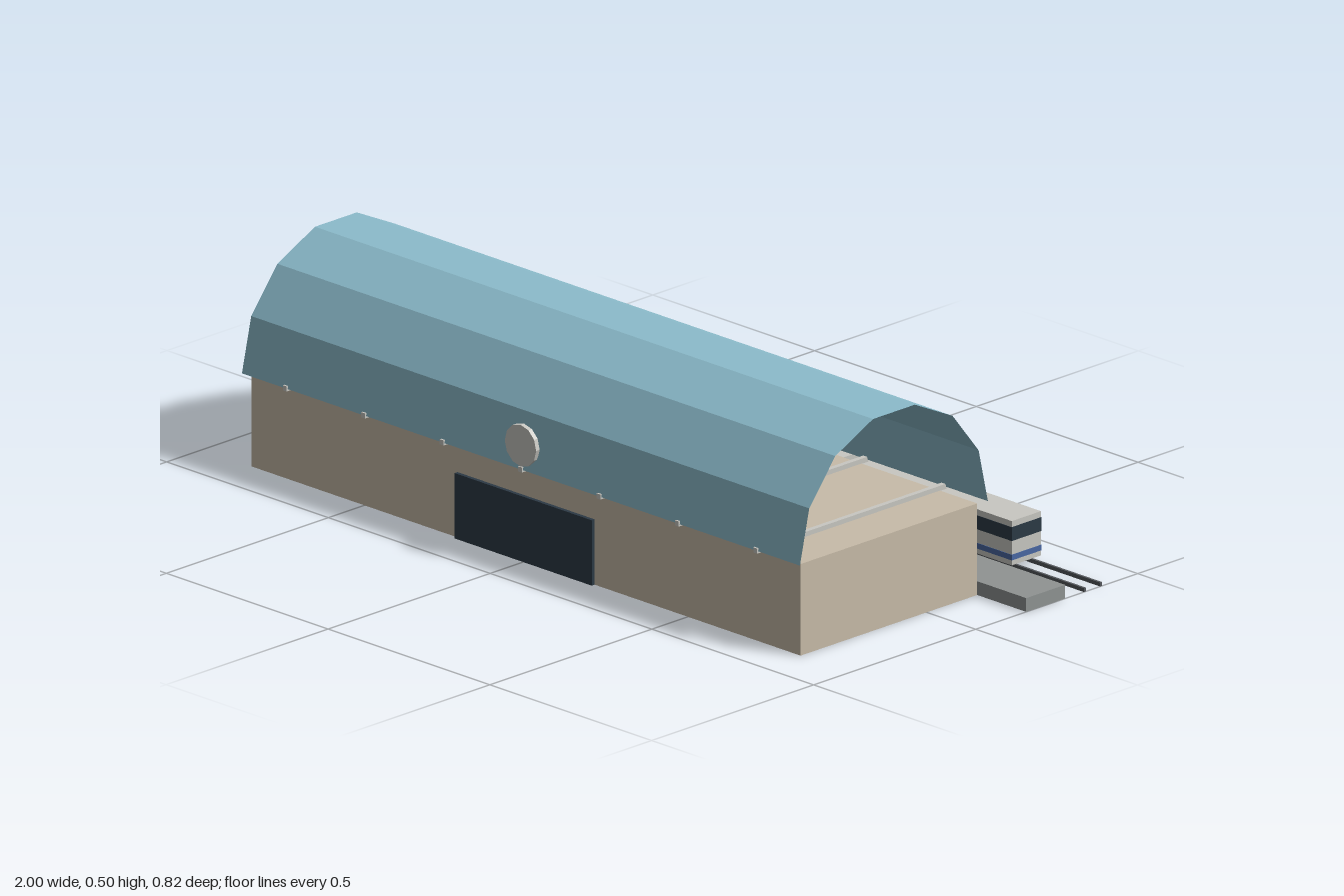
import * as THREE from 'three';

const mat = (name, color, extra = {}) => {
  const m = new THREE.MeshStandardMaterial({ color, ...extra });
  m.name = name;
  return m;
};

export function createModel() {
  const station = new THREE.Group();
  station.name = 'trainStation';

  const stone = mat('beige stone', 0xc8bca9);
  const glass = mat('pale blue roof', 0x8cbccc, { flatShading: true, side: THREE.DoubleSide });
  const dark = mat('dark glass', 0x2c3a46);
  const pale = mat('pale grey', 0xc9c8c2, { flatShading: true });
  const concrete = mat('platform grey', 0x909493);
  const blue = mat('stripe blue', 0x4a69a4);
  const steel = mat('rail steel', 0x55585c);

  const add = (parent, name, geometry, material, x, y, z) => {
    const mesh = new THREE.Mesh(geometry, material);
    mesh.name = name;
    mesh.position.set(x, y, z);
    parent.add(mesh);
    return mesh;
  };
  // Box given by its x centre and width, and its y and z ranges
  const box = (parent, name, material, x, w, y0, y1, z0, z1) =>
    add(parent, name, new THREE.BoxGeometry(w, y1 - y0, z1 - z0), material, x, (y0 + y1) / 2, (z0 + z1) / 2);

  // Hall with its wide entrance
  box(station, 'hall', stone, 0, 1.697, 0, 0.213, -0.156, 0.389);
  box(station, 'entrance', dark, 0, 0.424, 0, 0.152, 0.38, 0.398);

  // Open barrel roof of seven flat panels
  const vault = new THREE.CylinderGeometry(0.29, 0.29, 1.725, 7, 1, true, 0, Math.PI);
  vault.rotateZ(Math.PI / 2);
  add(station, 'barrelRoof', vault, glass, 0, 0.217, 0.115);

  // Cross beams at the foot of the roof
  for (let i = -3; i <= 3; i++) {
    box(station, 'roofBeam', pale, i * 0.2424, 0.012, 0.212, 0.224, -0.177, 0.408);
  }

  // Round clock above the entrance
  const clock = new THREE.CylinderGeometry(0.0485, 0.0485, 0.011, 12);
  clock.rotateX(Math.PI / 2);
  add(station, 'clock', clock, pale, 0, 0.273, 0.401);

  // Platform and track behind the hall
  box(station, 'platform', concrete, 0, 2, 0, 0.032, -0.276, -0.156);
  for (const z of [-0.337, -0.387]) {
    box(station, 'rail', steel, 0, 2, 0, 0.009, z - 0.003, z + 0.003);
  }

  // Three carriages, each wrapped by a window band and a stripe
  for (let i = -1; i <= 1; i++) {
    const carriage = new THREE.Group();
    carriage.name = 'carriage';
    carriage.position.x = i * 0.5455;
    box(carriage, 'carriageBody', pale, 0, 0.497, 0.013, 0.116, -0.407, -0.317);
    box(carriage, 'windowBand', dark, 0, 0.499, 0.07, 0.102, -0.408, -0.316);
    box(carriage, 'stripe', blue, 0, 0.499, 0.025, 0.038, -0.408, -0.316);
    station.add(carriage);
  }
  return station;
}
